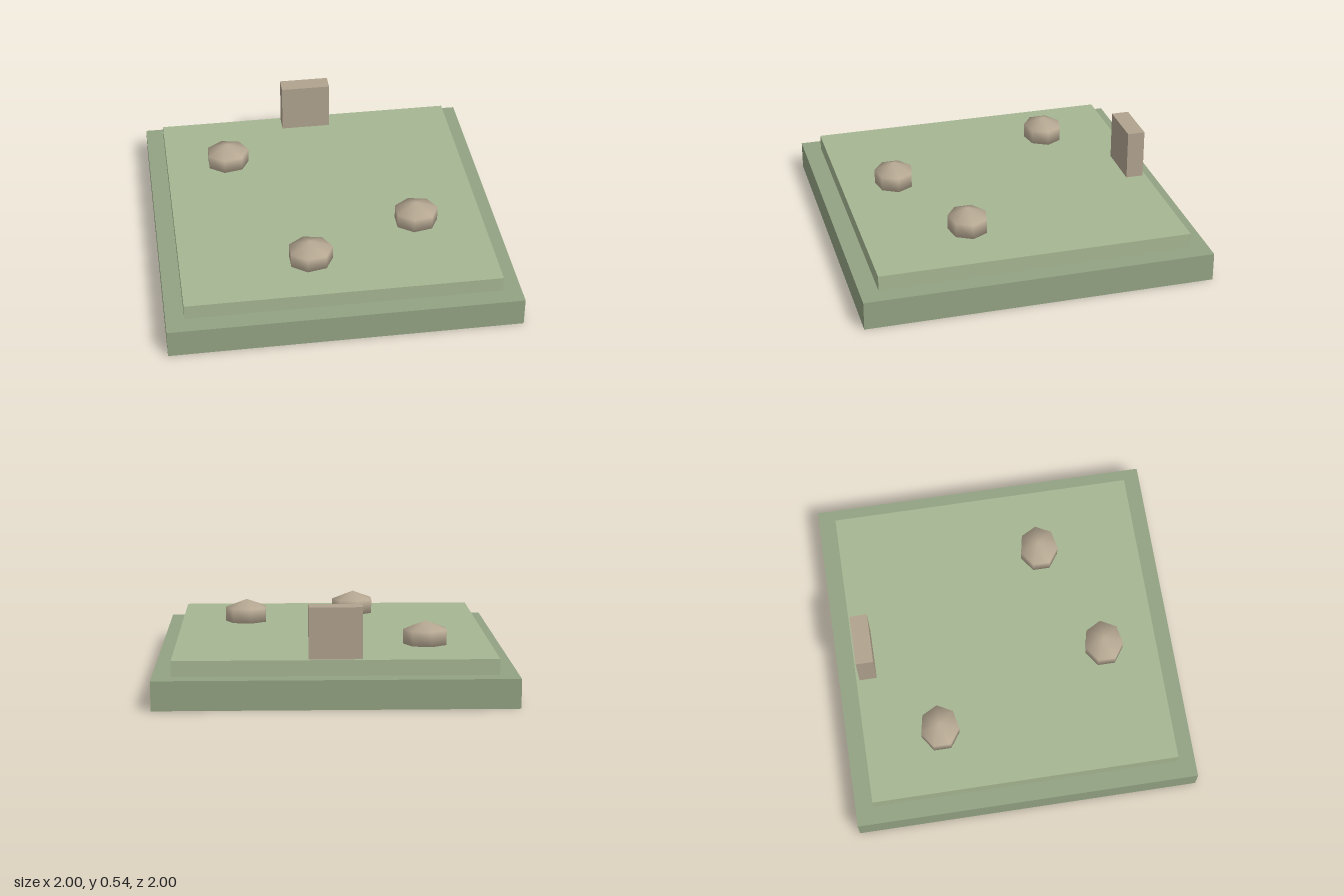
import * as THREE from 'three';

const paint = (color) => new THREE.MeshStandardMaterial({ color });

// Box given by its size, bottom height and z position
function slab(name, w, h, d, y, z, material) {
  const mesh = new THREE.Mesh(new THREE.BoxGeometry(w, h, d), material);
  mesh.position.set(0, y + h / 2, z);
  mesh.name = name;
  return mesh;
}

export function createModel() {
  const group = new THREE.Group();
  group.name = 'gardenTile';

  // Stepped ground and the upright stone at the back
  group.add(
    slab('base', 2, 0.165, 2, 0, 0, paint(0x93a382)),
    slab('lawn', 1.79, 0.088, 1.79, 0.165, 0, paint(0xa6b692)),
    slab('uprightStone', 0.296, 0.287, 0.102, 0.253, -0.825, paint(0xb0a38e)),
  );

  // Flattened seven-sided boulders, partly sunk into the lawn
  const boulder = new THREE.SphereGeometry(0.148, 7, 3);
  boulder.rotateY(Math.PI);
  boulder.scale(1, 0.66, 0.89);
  const stone = paint(0xb8aa94);
  [[-0.525, -0.45], [-0.153, 0.58], [0.505, 0.297]].forEach(([x, z], i) => {
    const mesh = new THREE.Mesh(boulder, stone);
    mesh.position.set(x, 0.289, z);
    mesh.name = `boulder${i + 1}`;
    group.add(mesh);
  });

  return group;
}
